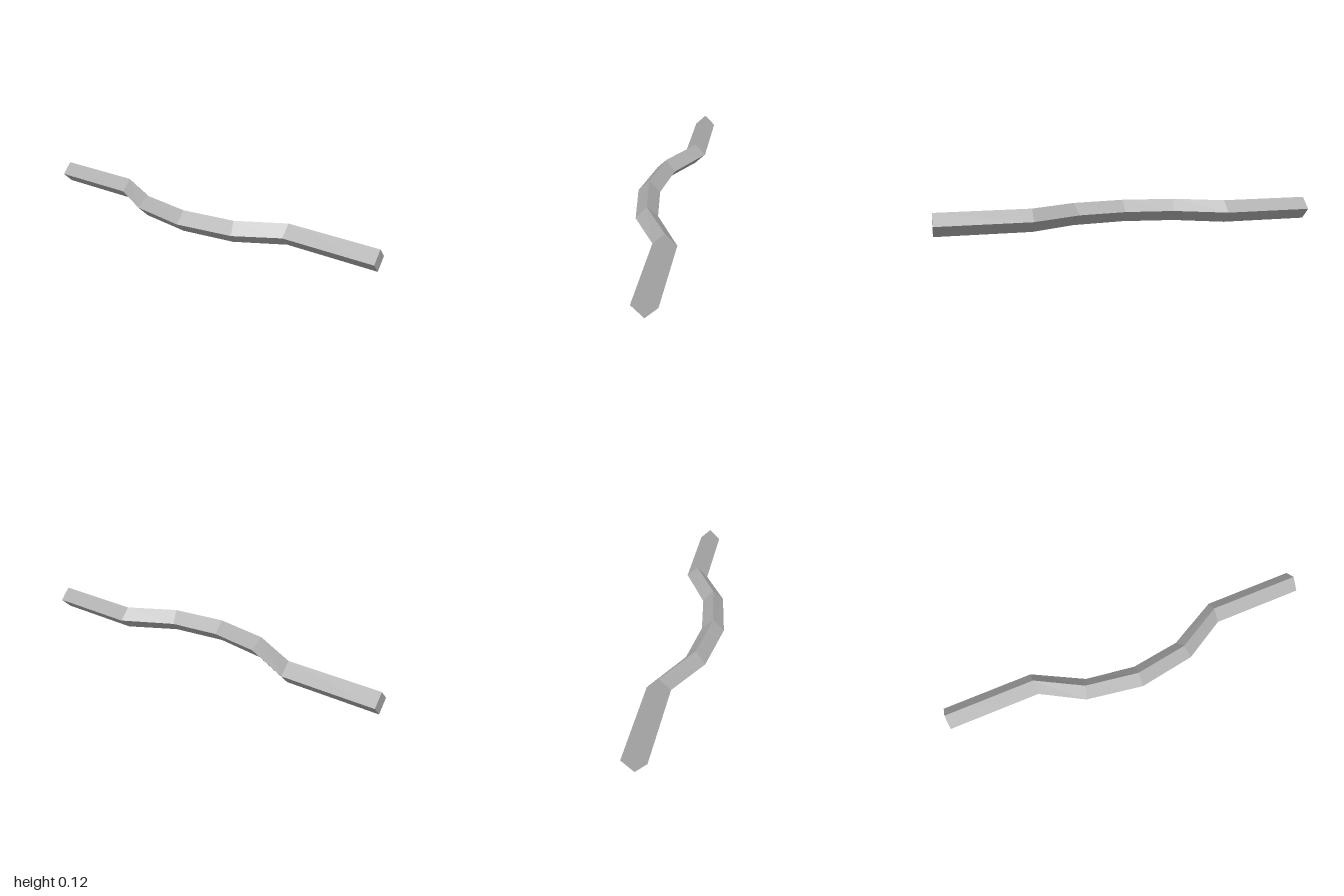
import * as THREE from 'three';

// Bent bar with a diamond cross-section, swept along z.
export function createModel() {
  const group = new THREE.Group();
  group.name = 'bentBar';
  const grey = new THREE.MeshStandardMaterial({ color: 0xb0b0b0, flatShading: true });
  grey.name = 'grey';

  const r = 0.059;
  // Stations: centre x, centre z, mitre skew of z towards the left corner
  const half = [[0.088, 1, 0], [0.088, 0.52, 0], [-0.045, 0.28, 0.02]];
  const stations = [
    ...half.map(([x, z, s]) => [x, -z, -s]),
    [-0.088, 0, 0],
    ...half.slice().reverse(),
  ];

  // Diamond corners: right, top, left, bottom
  const corners = [[1, 0], [0, 1], [-1, 0], [0, -1]];
  const rings = stations.map(([x, z, s]) => corners.map(([cx, cy]) =>
    [x + cx * (s ? 0.053 : r), r + cy * r, z - cx * s]));

  const points = [];
  const quad = (a, b, c, d) => points.push(...a, ...b, ...c, ...a, ...c, ...d);

  // Four long sides, one quad per bend
  for (let i = 0; i < rings.length - 1; i++) {
    for (let j = 0; j < 4; j++) {
      const k = (j + 1) % 4;
      quad(rings[i][j], rings[i][k], rings[i + 1][k], rings[i + 1][j]);
    }
  }
  // End caps
  quad(...rings[rings.length - 1]);
  quad(...rings[0].slice().reverse());

  const geometry = new THREE.BufferGeometry();
  geometry.setAttribute('position', new THREE.Float32BufferAttribute(points, 3));
  geometry.computeVertexNormals();
  const bar = new THREE.Mesh(geometry, grey);
  bar.name = 'bar';
  group.add(bar);
  return group;
}
